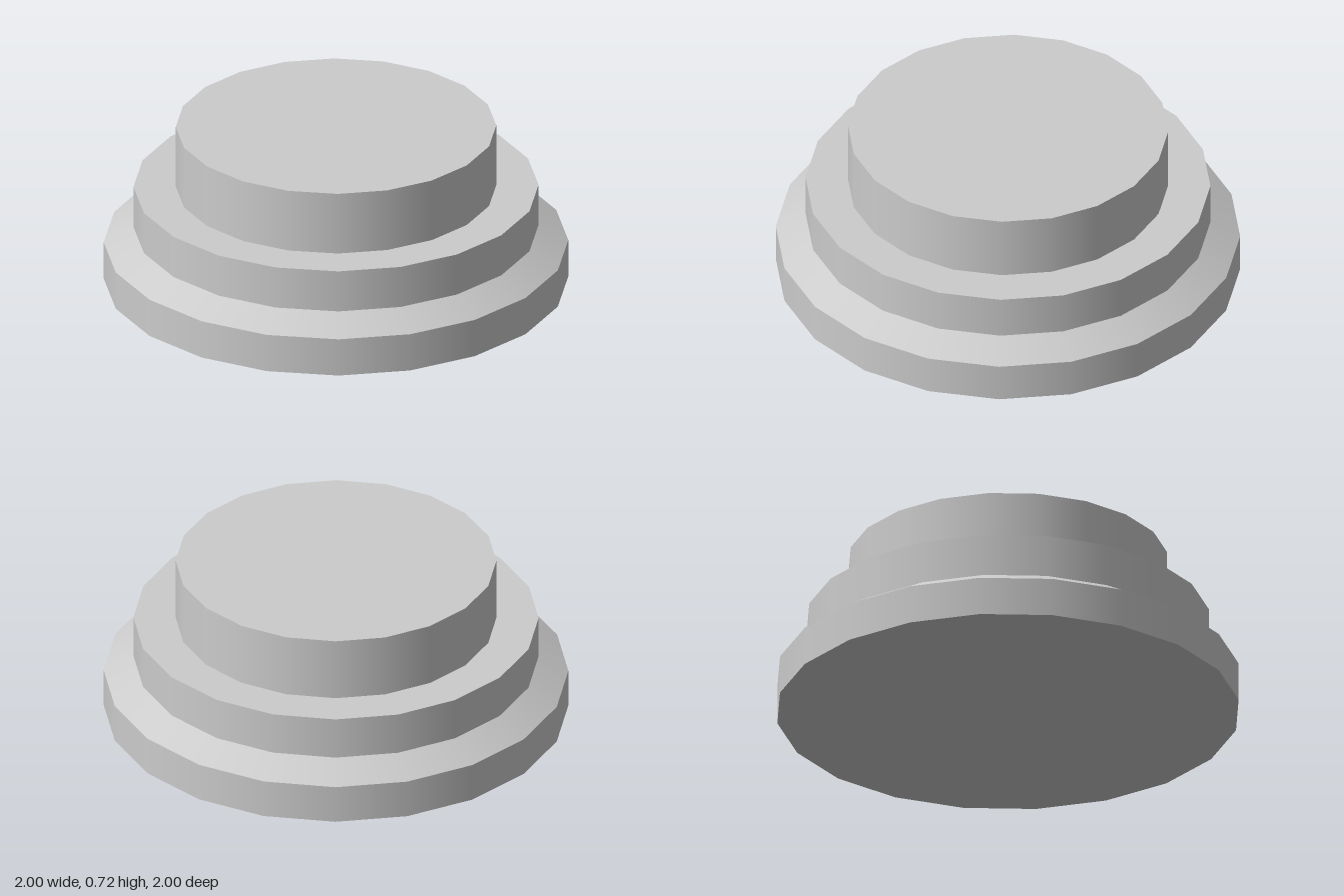
import * as THREE from 'three';

const SIDES = 20;

export function createModel() {
  const group = new THREE.Group();
  group.name = 'steppedRoundBase';
  const material = new THREE.MeshStandardMaterial({ color: 0xcccccc });

  // One round tier between two heights, smooth around its side
  const addTier = (name, bottomRadius, topRadius, y0, y1) => {
    const geometry = new THREE.CylinderGeometry(topRadius, bottomRadius, y1 - y0, SIDES);
    geometry.translate(0, (y0 + y1) / 2, 0);
    const mesh = new THREE.Mesh(geometry, material);
    mesh.name = name;
    group.add(mesh);
  };

  addTier('foot', 1, 1, 0, 0.172);
  addTier('footBevel', 1, 0.872, 0.172, 0.245);
  addTier('middleTier', 0.872, 0.872, 0.245, 0.435);
  addTier('topTier', 0.69, 0.69, 0.435, 0.718);

  return group;
}
